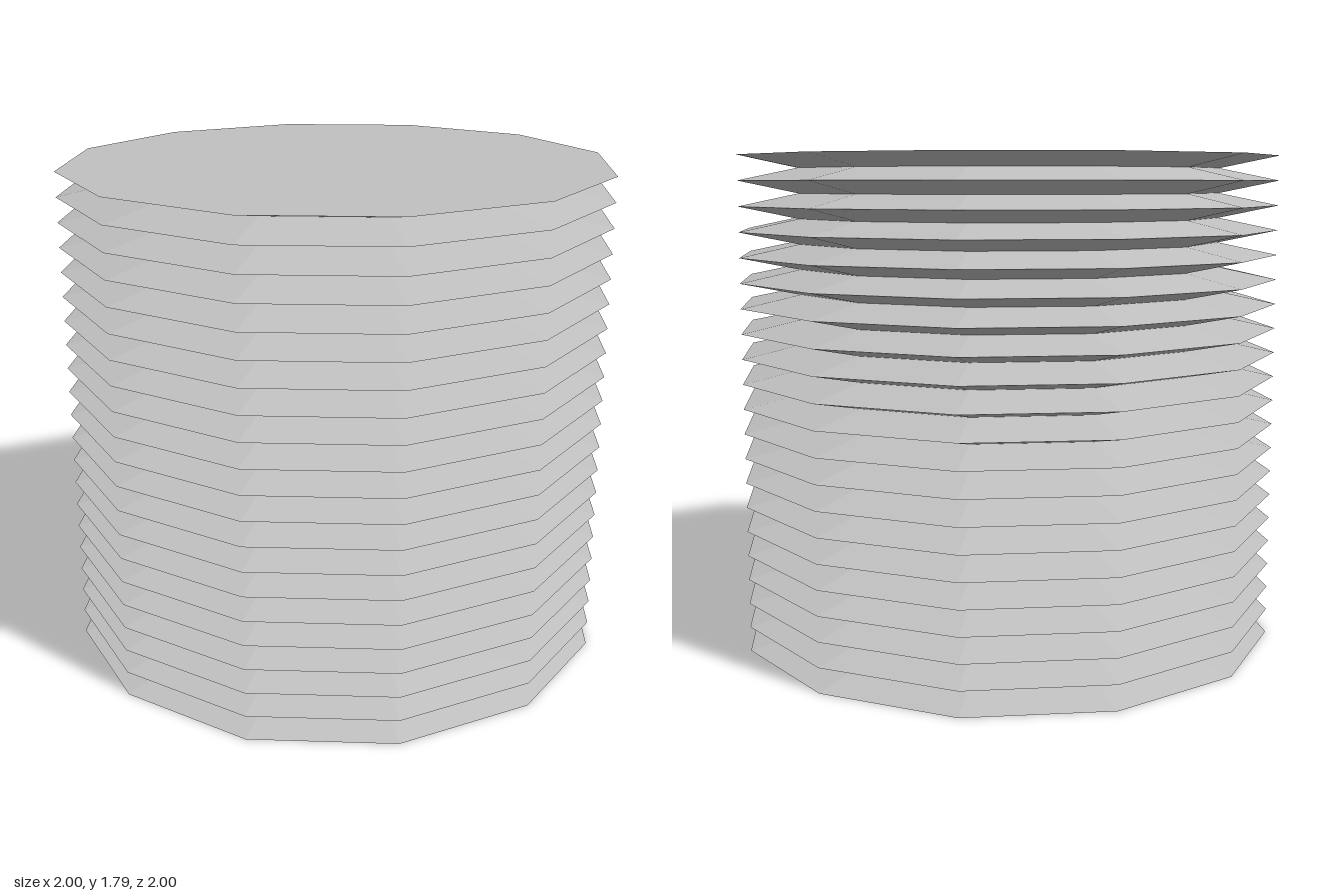
import * as THREE from 'three';

const SIDES = 12;
const FOLDS = 20;
const HEIGHT = 1.787;
const RIDGE = 1;
const VALLEY = 0.785;

export function createModel() {
  const group = new THREE.Group();
  group.name = 'bellows';
  const grey = new THREE.MeshStandardMaterial({ color: 0xc0c0c0, flatShading: true });
  grey.name = 'light grey';

  const add = (name, geometry, y = 0) => {
    const mesh = new THREE.Mesh(geometry, grey);
    mesh.name = name;
    mesh.position.y = y;
    group.add(mesh);
  };

  // Pleated wall: ridges and valleys alternate from bottom to top
  const profile = [];
  for (let i = 0; i <= FOLDS * 2; i++) {
    profile.push(new THREE.Vector2(i % 2 ? VALLEY : RIDGE, (HEIGHT * i) / (FOLDS * 2)));
  }
  const wall = new THREE.LatheGeometry(profile, SIDES).toNonIndexed();
  wall.computeVertexNormals();
  add('pleatedWall', wall);

  // Flat end caps
  add('topCap', new THREE.CircleGeometry(RIDGE, SIDES).rotateX(-Math.PI / 2), HEIGHT);
  add('bottomCap', new THREE.CircleGeometry(RIDGE, SIDES).rotateX(Math.PI / 2));

  return group;
}
